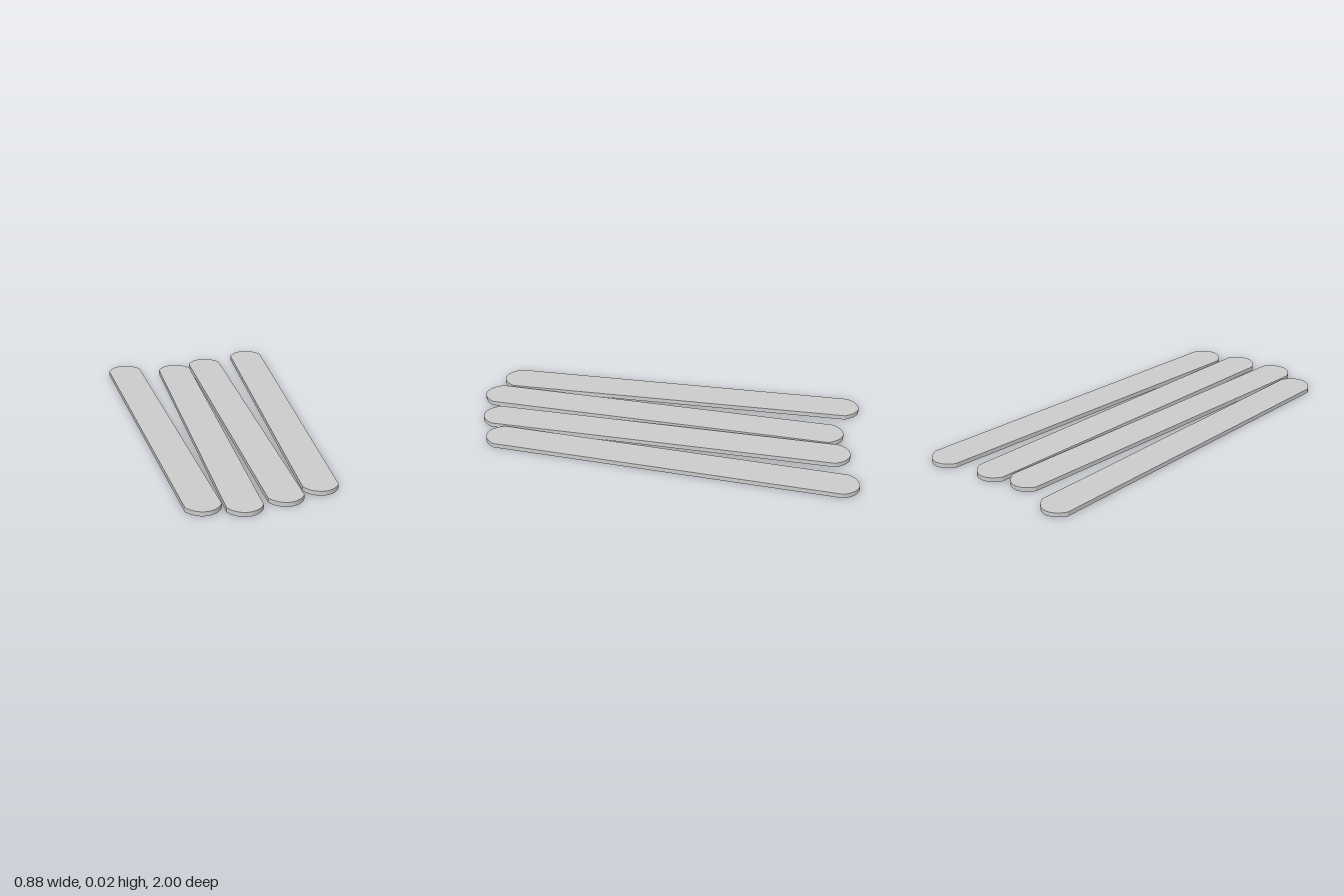
import * as THREE from 'three';
import { toCreasedNormals } from 'three/addons/utils/BufferGeometryUtils.js';

const HALF_WIDTH = 0.085, SHOULDER = 0.871, TIP = 0.934, THICKNESS = 0.022;

// Flat stick with a bowed tip at each end, lying along z on y = 0
function stickGeometry() {
  const w = HALF_WIDTH, s = SHOULDER;
  const control = s + (TIP - s) * 4 / 3;
  const outline = new THREE.Shape();
  outline.moveTo(-w, -s);
  outline.bezierCurveTo(-w / 2, -control, w / 2, -control, w, -s);
  outline.lineTo(w, s);
  outline.bezierCurveTo(w / 2, control, -w / 2, control, -w, s);
  outline.lineTo(-w, -s);
  const geometry = new THREE.ExtrudeGeometry(outline, {
    depth: THICKNESS, bevelEnabled: false, curveSegments: 20,
  });
  geometry.rotateX(-Math.PI / 2);
  return toCreasedNormals(geometry, 0.35);
}

export function createModel() {
  const group = new THREE.Group();
  group.name = 'flatSticks';
  const geometry = stickGeometry();
  const material = new THREE.MeshStandardMaterial({ color: 0xcccccc });

  // Centre x, centre z and turn of each stick, from right to left
  const sticks = [
    [-0.315, 0.02, 0.047],
    [-0.089, 0.065, -0.005],
    [0.103, 0.008, 0.0095],
    [0.322, -0.068, -0.032],
  ];
  sticks.forEach(([x, z, turn], i) => {
    const stick = new THREE.Mesh(geometry, material);
    stick.name = `stick${i + 1}`;
    stick.position.set(x, 0, z);
    stick.rotation.y = turn;
    group.add(stick);
  });
  return group;
}
